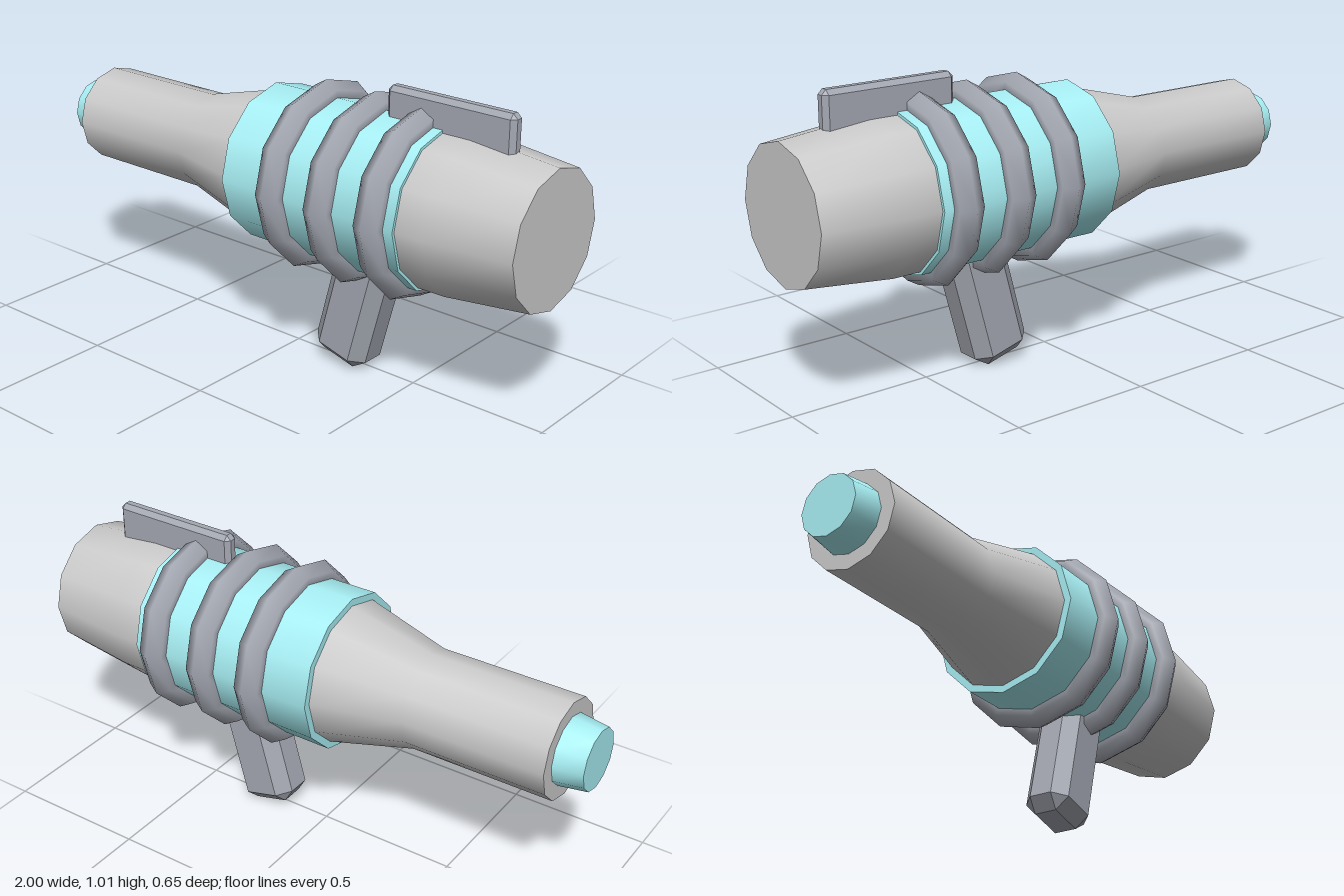
import * as THREE from 'three';
import { toCreasedNormals } from 'three/addons/utils/BufferGeometryUtils.js';
import { ConvexGeometry } from 'three/addons/geometries/ConvexGeometry.js';

const AXIS_Y = 0.65;
const grey = new THREE.MeshStandardMaterial({ color: 0xcccccc });
const cyan = new THREE.MeshStandardMaterial({ color: 0xa8f0f5 });
const steel = new THREE.MeshStandardMaterial({ color: 0xa4a8b2 });

// Twelve-sided solid turned around the barrel axis; profile is [x, radius] pairs
function turned(profile) {
  const points = profile.map(([x, r]) => new THREE.Vector2(r, x));
  const geo = new THREE.LatheGeometry(points, 12);
  geo.rotateZ(-Math.PI / 2);
  return toCreasedNormals(geo, 0.65);
}

// Box with every edge and corner cut off by c
function chamferedBox(w, h, d, c) {
  const points = [];
  for (const x of [-w / 2, w / 2])
    for (const y of [-h / 2, h / 2])
      for (const z of [-d / 2, d / 2]) {
        const ix = x - Math.sign(x) * c;
        const iy = y - Math.sign(y) * c;
        const iz = z - Math.sign(z) * c;
        points.push(
          new THREE.Vector3(x, iy, iz),
          new THREE.Vector3(ix, y, iz),
          new THREE.Vector3(ix, iy, z)
        );
      }
  return new ConvexGeometry(points);
}

export function createModel() {
  const model = new THREE.Group();
  model.name = 'rayBlaster';

  const add = (name, geometry, material, x, y) => {
    const mesh = new THREE.Mesh(geometry, material);
    mesh.name = name;
    mesh.position.set(x, y, 0);
    model.add(mesh);
    return mesh;
  };

  // Barrel flaring into the rear housing
  add('body', turned([
    [-0.9, 0], [-0.9, 0.17], [-0.4, 0.17], [-0.1, 0.247],
    [0.6, 0.262], [0.7, 0.262], [1, 0.23], [1, 0],
  ]), grey, 0, AXIS_Y);

  // Muzzle tip and the sleeve around the middle
  add('muzzle', turned([[-1, 0], [-1, 0.105], [-0.88, 0.122], [-0.88, 0]]), cyan, 0, AXIS_Y);
  add('sleeve', turned([[-0.1, 0], [-0.1, 0.272], [0.6, 0.272], [0.6, 0]]), cyan, 0, AXIS_Y);

  // Three coil rings
  for (let i = 0; i < 3; i++) {
    const ring = new THREE.TorusGeometry(0.271, 0.054, 6, 12);
    ring.rotateY(Math.PI / 2);
    add(`ring${i + 1}`, ring, steel, 0.117 + i * 0.2, AXIS_Y);
  }

  // Sight rail on top
  add('sight', chamferedBox(0.475, 0.195, 0.054, 0.016), steel, 0.617, 0.917);

  // Grip leaning back towards the muzzle
  const tilt = THREE.MathUtils.degToRad(15);
  const length = 0.5;
  const grip = add('grip', chamferedBox(0.215, length, 0.17, 0.044), steel,
    0.213 + Math.sin(tilt) * length / 2, 0.0165 + Math.cos(tilt) * length / 2);
  grip.rotation.z = -tilt;

  return model;
}
